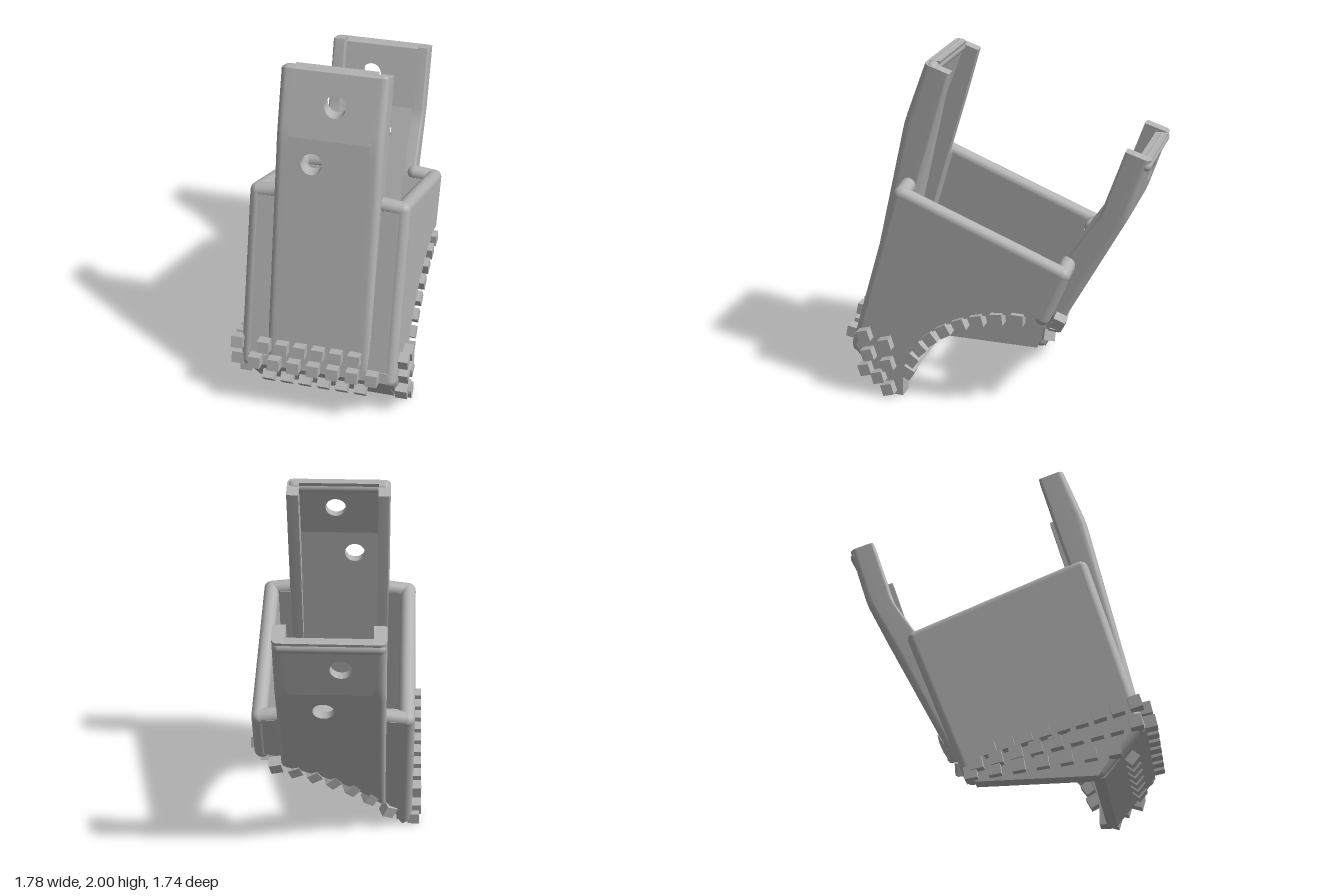
import * as THREE from 'three';
import { toCreasedNormals } from 'three/addons/utils/BufferGeometryUtils.js';

// Local frame: u (x) runs from the tall strap to the short strap, v (z) across, y up.
const R2 = Math.SQRT2, HALF = 0.46, T = 0.09, RAD = T / 2;
const STRAP = 0.3, WEB = 0.23;
const ARCH = { z: 0.12, y: 0.09, r: 0.53 };

// piecewise linear profile u(y)
const profile = (...p) => y => {
  let i = 0;
  while (i < p.length - 2 && y > p[i + 1][0]) i++;
  const [a, b] = [p[i], p[i + 1]];
  return a[1] + (b[1] - a[1]) * (y - a[0]) / (b[0] - a[0]);
};

// lower edge where the round bite cuts a leaning surface
function archBottom(uAt, v) {
  for (let y = 0.75; y > 0; y -= 0.004) {
    const dz = (v - uAt(y)) / R2 - ARCH.z;
    if (Math.hypot(dz, Math.max(0, y - ARCH.y)) < ARCH.r) return y;
  }
  return 0;
}

// moves every vertex by a rule and keeps the faces pointing outward
function warp(geo, rule) {
  const g = geo.index ? geo.toNonIndexed() : geo;
  const p = g.attributes.position;
  for (let i = 0; i < p.count; i++) p.setXYZ(i, ...rule(p.getX(i), p.getY(i), p.getZ(i)));
  const a = new THREE.Vector3(), b = new THREE.Vector3(), c = new THREE.Vector3();
  let vol = 0;
  for (let i = 0; i < p.count; i += 3) {
    a.fromBufferAttribute(p, i); b.fromBufferAttribute(p, i + 1); c.fromBufferAttribute(p, i + 2);
    vol += a.dot(b.cross(c));
  }
  if (vol < 0) for (let i = 0; i < p.count; i += 3) {
    b.fromBufferAttribute(p, i + 1); c.fromBufferAttribute(p, i + 2);
    p.setXYZ(i + 1, c.x, c.y, c.z); p.setXYZ(i + 2, b.x, b.y, b.z);
  }
  g.computeVertexNormals();
  return toCreasedNormals(g, 0.6);
}

const poly = pts => new THREE.Shape(pts.map(([x, y]) => new THREE.Vector2(x, y)));
const extrude = (shape, depth, steps = 1) =>
  new THREE.ExtrudeGeometry(shape, { depth, steps, bevelEnabled: false, curveSegments: 20 });

export function createModel() {
  const model = new THREE.Group();
  model.name = 'castTooth';
  const body = new THREE.Group();
  body.name = 'body';
  body.rotation.y = Math.PI / 4;
  model.add(body);
  const steel = new THREE.MeshStandardMaterial({ color: 0xb2b2b2 });
  steel.name = 'steel grey';

  const add = (name, geo) => {
    const m = new THREE.Mesh(geo, steel);
    m.name = name;
    body.add(m);
    return m;
  };
  const rod = (name, a, b, r = RAD) => {
    const A = new THREE.Vector3(...a), B = new THREE.Vector3(...b), d = B.clone().sub(A);
    const m = add(name, new THREE.CapsuleGeometry(r, d.length(), 6, 16));
    m.position.copy(A).add(B).multiplyScalar(0.5);
    m.quaternion.setFromUnitVectors(new THREE.Vector3(0, 1, 0), d.normalize());
  };

  const ends = [
    { // tall strap end
      name: 'tall', dir: 1, top: 2, tilt: -0.05, rim: 1.26, kink: 1.65,
      wall: profile([0.28, -0.785], [1.3, -0.489]),
      outer: profile([0.28, -0.79], [1.65, -0.48], [2, -0.35]),
      inner: profile([0.28, -0.695], [1.3, -0.395], [1.65, -0.29], [2, -0.19]),
      bottom: () => 0.3, holes: [[-0.09, 1.51], [0.02, 1.83]],
    },
    { // short strap end, with the round bite in its lower edge
      name: 'short', dir: -1, top: 1.555, tilt: 0.045, rim: 0.885, kink: 1.2,
      wall: profile([0, 0.18], [0.91, 0.544]),
      outer: profile([0, 0.18], [1.2, 0.82], [1.55, 0.935]),
      inner: profile([0, 0.09], [0.91, 0.465], [1.2, 0.66], [1.55, 0.78]),
      bottom: archBottom, holes: [[0.04, 1.06], [-0.06, 1.38]],
    },
  ];

  for (const e of ends) {
    // strap web in two flat pieces, each with a pin hole
    const low = [];
    for (let i = 0; i <= 24; i++) {
      const v = -WEB + 2 * WEB * i / 24;
      low.push([v, e.bottom(e.outer, v)]);
    }
    const pieces = [
      [...low, [WEB, e.kink], [-WEB, e.kink]],
      [[-WEB, e.kink], [WEB, e.kink], [WEB, e.top], [-WEB, e.top]],
    ];
    pieces.forEach((pts, i) => {
      const shape = poly(pts);
      const hole = new THREE.Path();
      hole.absarc(e.holes[i][0], e.holes[i][1], 0.06, 0, Math.PI * 2, true);
      shape.holes.push(hole);
      add(e.name + 'StrapWeb', warp(extrude(shape, 1),
        (v, y, w) => [e.outer(y) + e.dir * 0.075 * w, y, v]));
    });

    for (const s of [1, -1]) {
      // strap flange with a rounded outer corner
      const f = new THREE.Shape();
      f.moveTo(0, s * WEB);
      f.lineTo(0, s * (STRAP - 0.045));
      f.quadraticCurveTo(0, s * STRAP, 0.28, s * STRAP);
      f.lineTo(0.9, s * STRAP);
      f.quadraticCurveTo(1, s * STRAP, 1, s * (STRAP - 0.015));
      f.lineTo(1, s * WEB);
      f.closePath();
      add(e.name + 'StrapFlange', warp(extrude(f, 1, 28), (w, v, t) => {
        const uAt = y => e.outer(y) + (e.inner(y) - e.outer(y)) * w;
        const y0 = e.bottom(uAt, v), y = y0 + (e.top + e.tilt * w - y0) * t;
        return [uAt(y), y, v];
      }));
      rod(e.name + 'StrapTopEdge', [e.outer(e.top) + e.dir * 0.035, e.top - 0.033, 0],
        [e.outer(e.top) + e.dir * 0.035, e.top - 0.033, s * 0.262], 0.035);

      // end wall beside the strap
      add(e.name + 'EndWall', warp(new THREE.BoxGeometry(1, 1, 1, 1, 8, 8), (a, b, c) => {
        const v = s * (0.34 + 0.15 * c);
        const uAt = y => e.wall(y) + e.dir * T * (a + 0.5);
        const y0 = e.bottom(uAt, v), y = y0 + (e.rim - y0) * (b + 0.5);
        return [uAt(y), y, v];
      }));
      // rounded corner post and rim beside the strap
      const c = y => [e.wall(y) + e.dir * RAD, y, s * (HALF - RAD)];
      const foot = e.dir > 0 ? 0.28 : s > 0 ? 0.61 : RAD;
      rod('cornerPost', c(foot), c(e.rim));
      const rimEnd = c(e.rim);
      rod('endRim', rimEnd, [rimEnd[0], e.rim + 0.015, s * 0.29]);
    }
  }

  // side walls, one plain and one with the bite
  const arc = [];
  for (let i = 0; i <= 28; i++) {
    const a = Math.PI * (0.535 - 0.535 * i / 28);
    arc.push([HALF - R2 * (ARCH.z + ARCH.r * Math.cos(a)), ARCH.y + ARCH.r * Math.sin(a)]);
  }
  const edge = [[-0.53, 0], [-0.74, 0.28], [-0.45, 1.26], [0.49, 0.885]];
  const bite = [...edge, [0.38, 0.61], ...arc, [arc[28][0], 0]];
  add('bittenSideWall', extrude(poly(bite), T)).position.z = HALF - T;
  add('plainSideWall', extrude(poly([...edge, [0.135, 0]]), T)).position.z = -HALF;
  for (const s of [1, -1]) {
    const v = s * (HALF - RAD);
    rod('sideRim', [-0.45, 1.26, v], [0.49, 0.885, v]);
    rod('toeCorner', [-0.735, 0.28, v], [-0.53, RAD, v]);
  }

  // chamfered toe with its inner ledge
  const toe = poly([[-0.56, 0], [-0.79, 0.28], [-0.775, 0.34], [-0.70, 0.33],
    [-0.58, 0.28], [-0.58, 0.2], [-0.5, 0]]);
  add('toe', extrude(toe, 0.83)).position.z = -0.415;

  // hard-facing studs
  const cube = new THREE.BoxGeometry(0.07, 0.07, 0.07);
  const stud = (u, y, v, rx = 0, rz = 0) => {
    const m = add('stud', cube);
    m.position.set(u, y, v);
    m.rotation.set(rx, 0, rz);
  };
  const row = (n, a, b, rx = 0, rz = 0) => {
    for (let i = 0; i < n; i++) {
      const k = i / (n - 1);
      stud(...a.map((p, j) => p + (b[j] - p) * k), rx, rz);
    }
  };
  row(6, [-0.785, 0.42, -0.31], [-0.785, 0.42, 0.22], 0, -0.2);
  row(7, [-0.81, 0.32, -0.36], [-0.81, 0.32, 0.33], 0, -0.2);
  row(6, [-0.7, 0.14, -0.31], [-0.7, 0.14, 0.24], 0, 0.7);
  row(9, [-0.74, 0.39, -0.48], [0.05, 0.17, -0.48], 0, -0.27);
  row(9, [-0.74, 0.28, -0.48], [0.12, 0.09, -0.48], 0, -0.22);
  row(7, [-0.62, 0.13, -0.47], [0.15, 0.04, -0.47], 0, -0.15);
  for (const [u, y] of [[-0.68, 0.38], [-0.55, 0.34], [-0.66, 0.26], [-0.54, 0.21],
    [-0.68, 0.16], [-0.6, 0.12], [-0.54, 0.05]]) stud(u, y, 0.48, 0, 0.3);

  // studs along the edge of the bite, on the side wall and then the short end
  const short = ends[1];
  for (let i = 0; i < 9; i++) {
    const a = 0.15 + i * 0.17;
    stud(HALF - R2 * (ARCH.z + 0.51 * Math.cos(a)), ARCH.y + 0.51 * Math.sin(a), 0.455, 0, 1.2 - a * 0.8);
  }
  for (let i = 0; i < 7; i++) {
    const v = 0.33 - i * 0.108;
    const y = archBottom(short.outer, v);
    stud(short.outer(y) - 0.03, Math.max(0.05, y - 0.015), v, 0.2 + i * 0.15, -0.4);
  }
  return model;
}
